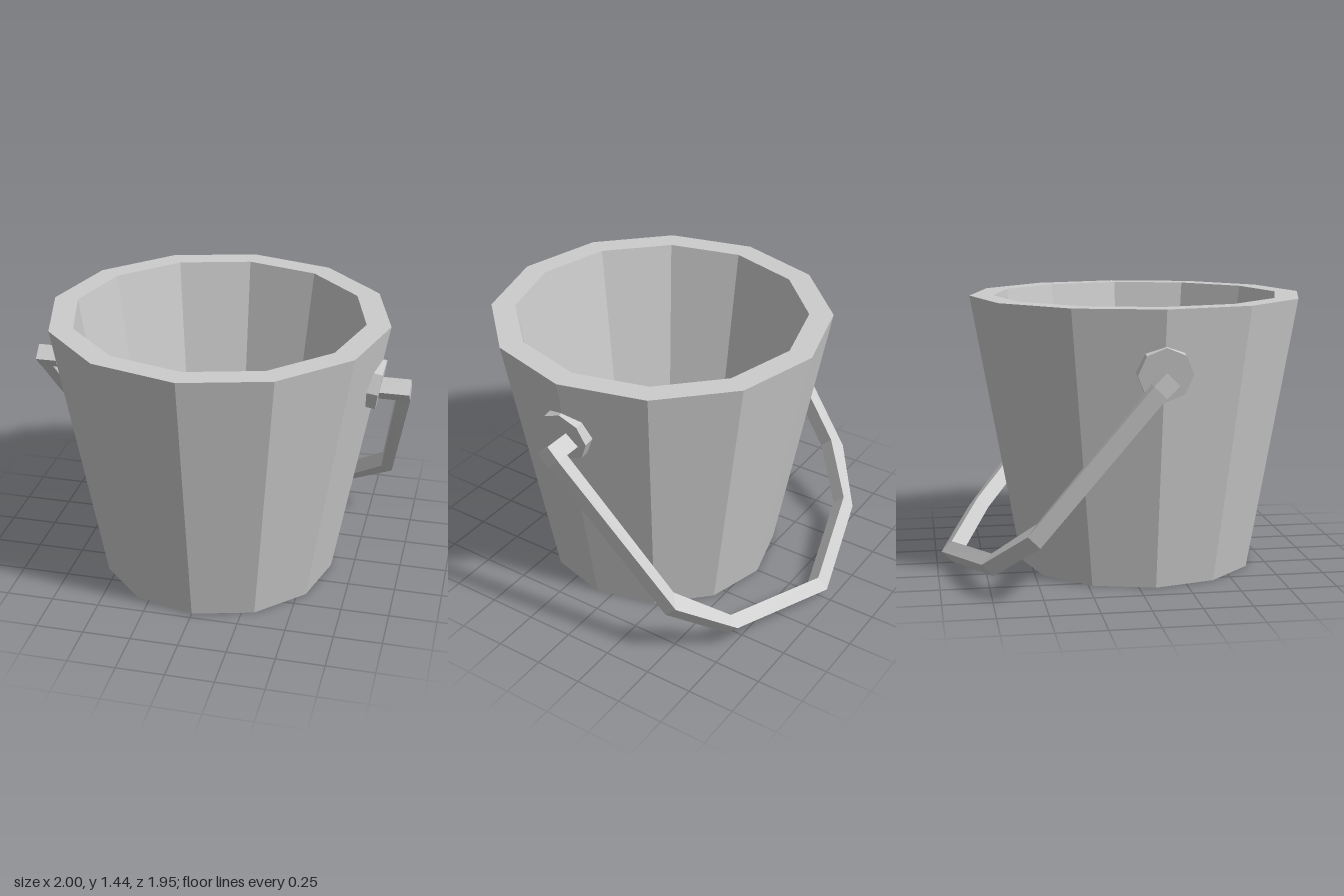
import * as THREE from 'three';

const mat = new THREE.MeshStandardMaterial({ color: 0xcccccc, flatShading: true });

function add(parent, name, geometry) {
  const mesh = new THREE.Mesh(geometry, mat);
  mesh.name = name;
  parent.add(mesh);
  return mesh;
}

// Square bar swept through mitred sections, each { c: centre, u, v: half-axes }
function sweepSections(sections) {
  const pos = [], idx = [];
  for (const { c, u, v } of sections) {
    for (const [a, b] of [[1, 1], [-1, 1], [-1, -1], [1, -1]]) {
      for (let k = 0; k < 3; k++) pos.push(c[k] + a * u[k] + b * v[k]);
    }
  }
  for (let s = 0; s < sections.length - 1; s++) {
    for (let i = 0; i < 4; i++) {
      const a = s * 4 + i, b = s * 4 + (i + 1) % 4;
      idx.push(a, a + 4, b + 4, a, b + 4, b);
    }
  }
  const g = new THREE.BufferGeometry();
  g.setAttribute('position', new THREE.Float32BufferAttribute(pos, 3));
  g.setIndex(idx);
  g.computeVertexNormals();
  return g;
}

export function createModel() {
  const group = new THREE.Group();
  group.name = 'bucket';

  // Twelve-sided tapered body with thick wall and floor
  const profile = [[0, 0], [0.63, 0], [0.885, 1.44], [0.76, 1.44], [0.56, 0.125], [0, 0.125]]
    .map(([r, y]) => new THREE.Vector2(r, y));
  add(group, 'body', new THREE.LatheGeometry(profile, 12)).position.z = 0.085;

  // Pivot discs lying on the sloping wall, and the bars that stick out of them
  for (const side of [1, -1]) {
    const prefix = side > 0 ? 'left' : 'right';
    const disc = add(group, prefix + 'PivotDisc', new THREE.CylinderGeometry(0.137, 0.137, 0.08, 8));
    disc.position.set(side * 0.811, 1.127, 0.088);
    disc.rotation.z = -side * (Math.PI / 2 + 0.16);

    const bar = add(group, prefix + 'PivotBar', new THREE.BoxGeometry(0.2, 0.088, 0.088));
    bar.position.set(side * 0.9, 1.092, 0.065);
    bar.rotation.x = Math.PI / 4;
  }

  // Handle hanging down behind the body: half of it, then mirrored
  const v = [0, 0.03, -0.03];
  const half = [
    { c: [0.965, 1.062, 0.034], u: [0.035, 0, 0], v },
    { c: [0.845, 0.352, -0.531], u: [0.028, -0.025, -0.025], v },
    { c: [0.615, 0.154, -0.74], u: [0.008, -0.026, -0.026], v },
  ];
  const middle = { c: [0, 0.06, -0.918], u: [0, -0.028, -0.028], v };
  const flip = ([x, y, z]) => [-x, y, z];
  const mirrored = half.map((s) => ({ c: flip(s.c), u: flip(s.u), v })).reverse();
  add(group, 'handle', sweepSections([...half, middle, ...mirrored]));

  return group;
}
